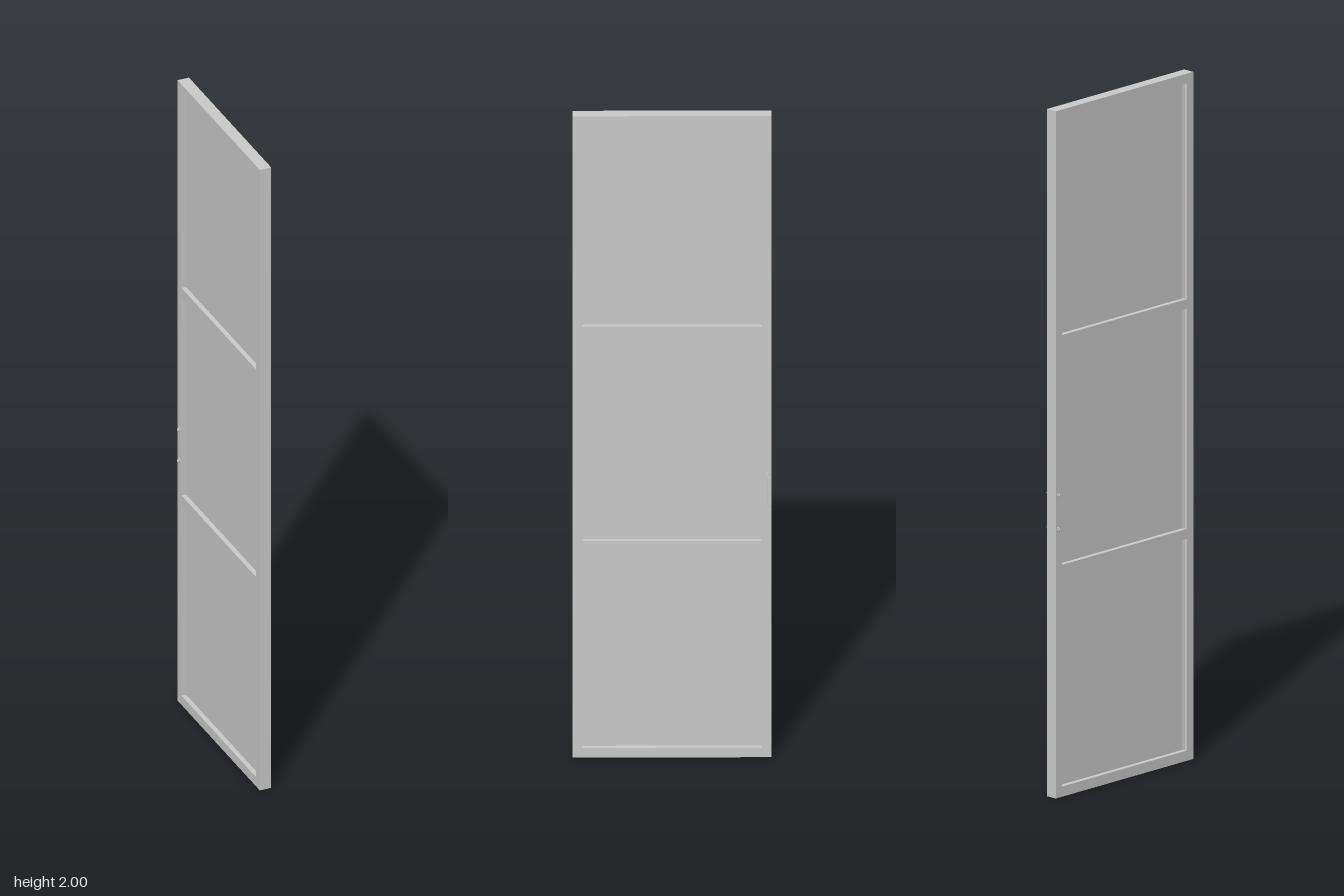
import * as THREE from 'three';

const mat = new THREE.MeshStandardMaterial({ color: 0xcccccc });

// Box given by its minimum and maximum corners
function box(name, x0, x1, y0, y1, z0, z1) {
  const m = new THREE.Mesh(new THREE.BoxGeometry(x1 - x0, y1 - y0, z1 - z0), mat);
  m.position.set((x0 + x1) / 2, (y0 + y1) / 2, (z0 + z1) / 2);
  m.name = name;
  return m;
}

// Cylinder lying along x
function peg(name, x0, x1, radius, y, z) {
  const m = new THREE.Mesh(new THREE.CylinderGeometry(radius, radius, Math.abs(x1 - x0), 20), mat);
  m.rotation.z = Math.PI / 2;
  m.position.set((x0 + x1) / 2, y, z);
  m.name = name;
  return m;
}

export function createModel() {
  const door = new THREE.Group();
  door.name = 'door';
  const back = -0.02, front = 0.015, halfWidth = 0.278, inner = 0.252;
  const openings = [[0.03, 0.646], [0.675, 1.315], [1.344, 1.972]];

  // Frame with rails, cut from one sheet and turned to face x
  const outline = new THREE.Shape();
  outline.moveTo(-halfWidth, 0).lineTo(halfWidth, 0).lineTo(halfWidth, 2).lineTo(-halfWidth, 2).closePath();
  for (const [y0, y1] of openings) {
    const hole = new THREE.Path();
    hole.moveTo(-inner, y0).lineTo(-inner, y1).lineTo(inner, y1).lineTo(inner, y0).closePath();
    outline.holes.push(hole);
  }
  const frameGeo = new THREE.ExtrudeGeometry(outline, { depth: front - back, bevelEnabled: false });
  frameGeo.rotateY(Math.PI / 2).translate(back, 0, 0);
  const frame = new THREE.Mesh(frameGeo, mat);
  frame.name = 'frame';
  door.add(frame);

  // Panes with a slim bead down each side
  for (const [y0, y1] of openings) {
    door.add(box('pane', -0.006, 0.002, y0, y1, -inner, inner));
    for (const s of [-1, 1]) {
      const z = s * (inner - 0.002);
      door.add(box('bead', -0.01, 0.006, y0, y1, z - 0.002, z + 0.002));
    }
  }

  // Pull handles: rosettes, posts and a slim bar on both faces
  for (const [name, face, dir, reach] of [['frontHandle', front, 1, 0.008], ['backHandle', back, -1, 0.006]]) {
    const handle = new THREE.Group();
    handle.name = name;
    const z = -0.266;
    for (const y of [0.78, 0.88]) {
      handle.add(peg('rosette', face, face + dir * 0.002, 0.008, y, z));
      handle.add(peg('post', face, face + dir * reach, 0.004, y, z));
    }
    if (dir > 0) {
      const bar = new THREE.Mesh(new THREE.CylinderGeometry(0.0015, 0.0015, 0.1, 12), mat);
      bar.position.set(face + 0.005, 0.83, z);
      bar.name = 'bar';
      handle.add(bar);
    }
    door.add(handle);
  }
  return door;
}
